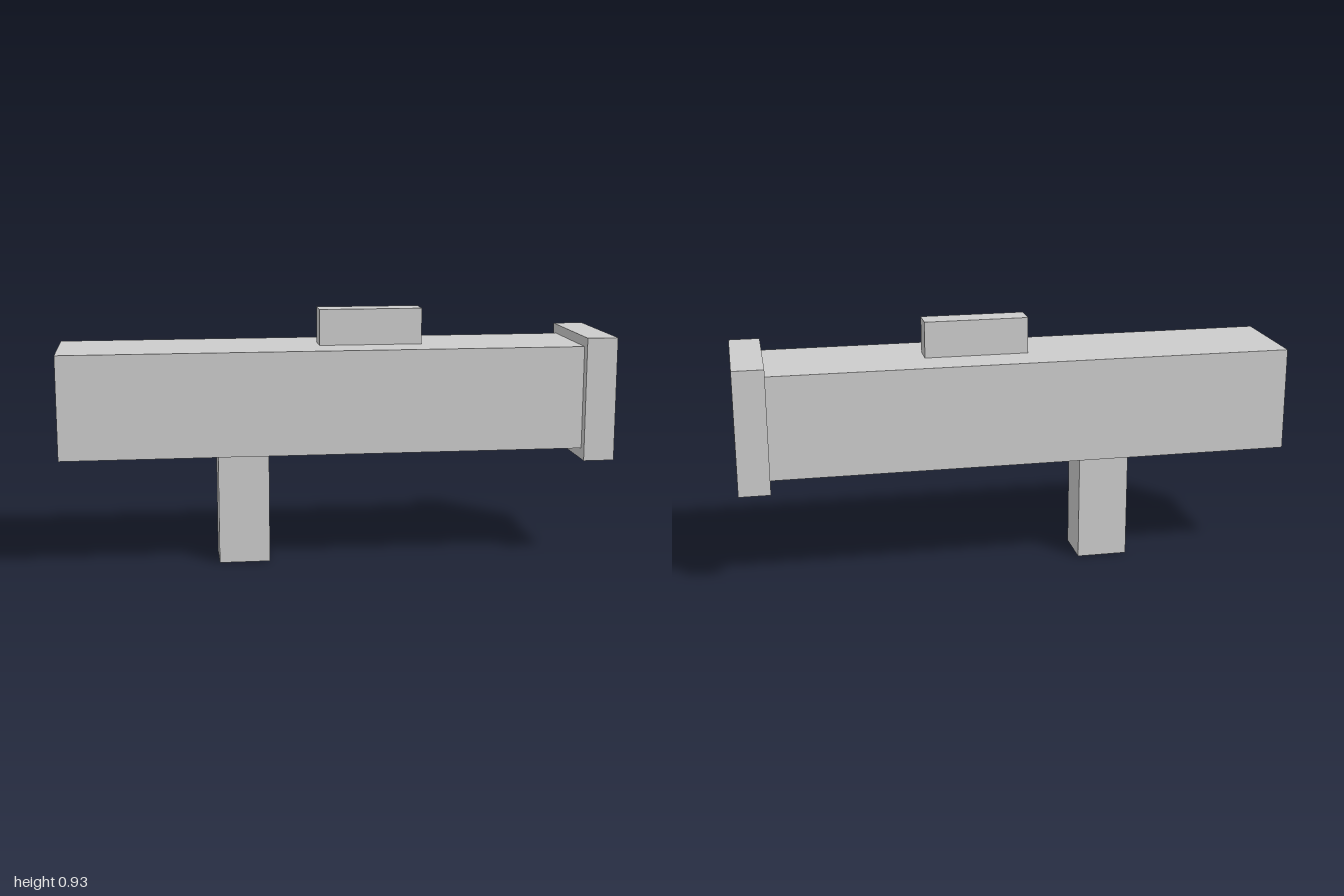
import * as THREE from 'three';

// Box given by its limits, left open underneath
function openBox(name, material, [x0, x1], [y0, y1], halfDepth) {
  const geometry = new THREE.BoxGeometry(x1 - x0, y1 - y0, halfDepth * 2);
  // Each side has six indices; the fourth side is the underside
  const index = Array.from(geometry.index.array);
  index.splice(18, 6);
  geometry.setIndex(index);
  geometry.clearGroups();
  geometry.translate((x0 + x1) / 2, (y0 + y1) / 2, 0);
  const mesh = new THREE.Mesh(geometry, material);
  mesh.name = name;
  return mesh;
}

export function createModel() {
  const grey = new THREE.MeshStandardMaterial({ color: 0xcccccc, side: THREE.DoubleSide });
  grey.name = 'light grey';

  const model = new THREE.Group();
  model.name = 'launcher';
  model.add(
    openBox('body', grey, [-1, 0.888], [0.42, 0.795], 0.19),
    openBox('endCollar', grey, [0.888, 1], [0.38, 0.83], 0.226),
    openBox('grip', grey, [-0.435, -0.25], [0, 0.42], 0.083),
    openBox('sight', grey, [-0.06, 0.316], [0.795, 0.926], 0.046),
  );
  return model;
}
